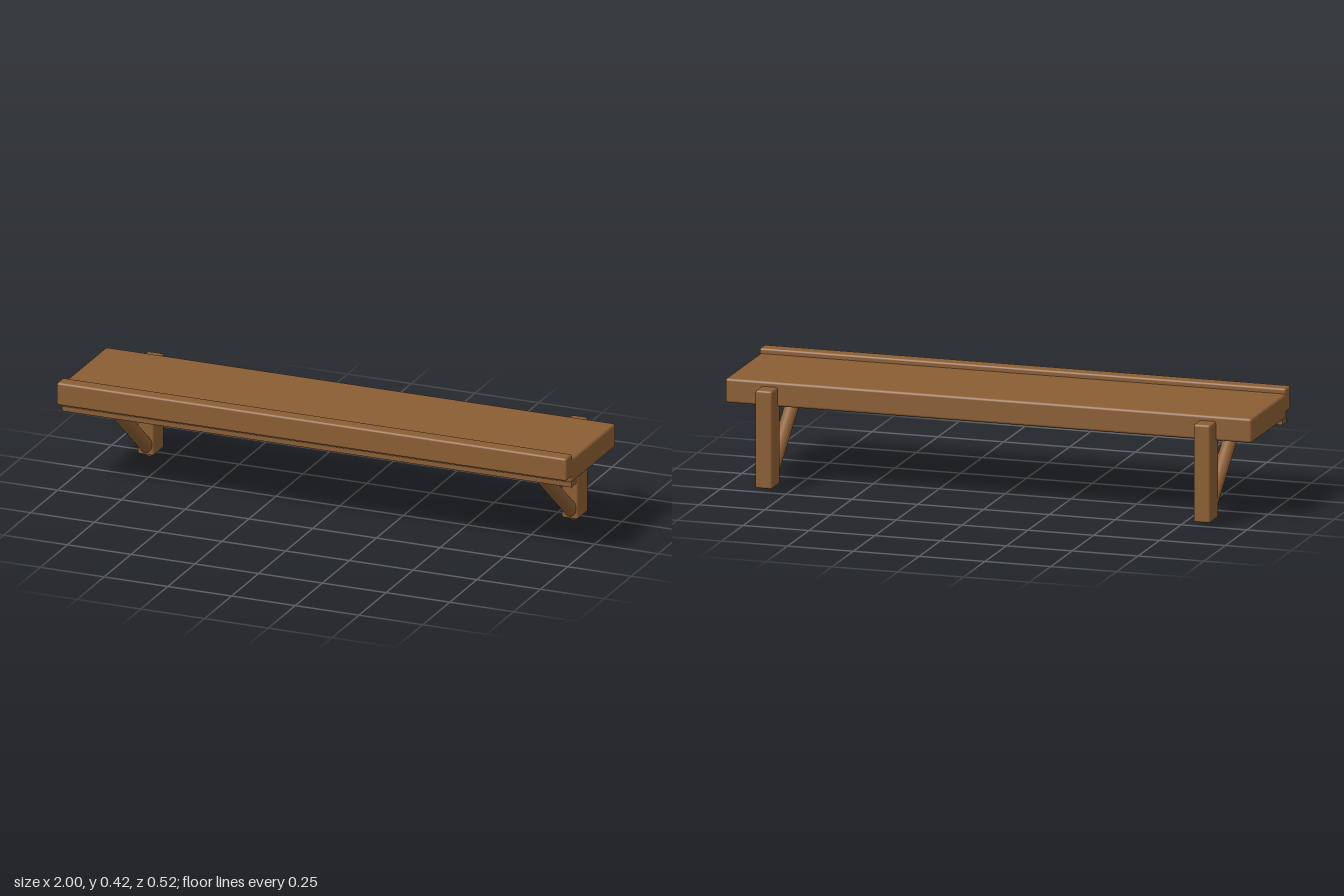
import * as THREE from 'three';
import { RoundedBoxGeometry } from 'three/addons/geometries/RoundedBoxGeometry.js';

export function createModel() {
  const model = new THREE.Group();
  model.name = 'wallShelf';
  const wood = new THREE.MeshStandardMaterial({ color: 0x8b5e34 });
  wood.name = 'wood';

  // Softly bevelled beam given by its extents on each axis
  function beam(name, parent, [x0, x1], [y0, y1], [z0, z1], bevel) {
    const geometry = new RoundedBoxGeometry(x1 - x0, y1 - y0, z1 - z0, 2, bevel);
    const mesh = new THREE.Mesh(geometry, wood);
    mesh.name = name;
    mesh.position.set((x0 + x1) / 2, (y0 + y1) / 2, (z0 + z1) / 2);
    parent.add(mesh);
  }

  // Board, raised front lip and the thin strip under the front edge
  beam('shelfBoard', model, [-1, 1], [0.309, 0.4], [-0.195, 0.215], 0.01);
  beam('frontLip', model, [-1, 1], [0.333, 0.42], [0.204, 0.262], 0.008);
  beam('underStrip', model, [-1, 1], [0.293, 0.313], [0.165, 0.213], 0.002);

  // Two brackets: an upright post and a round diagonal brace
  for (const side of [-1, 1]) {
    const bracket = new THREE.Group();
    bracket.name = side > 0 ? 'leftBracket' : 'rightBracket';
    bracket.position.x = side * 0.832;
    beam('post', bracket, [-0.032, 0.032], [0.017, 0.381], [-0.262, -0.164], 0.008);

    const bottom = new THREE.Vector3(0, 0.021, -0.211);
    const top = new THREE.Vector3(0, 0.329, 0.165);
    const along = top.clone().sub(bottom);
    const brace = new THREE.Mesh(new THREE.CylinderGeometry(0.026, 0.026, along.length(), 24), wood);
    brace.name = 'diagonalBrace';
    brace.position.copy(bottom).add(top).multiplyScalar(0.5);
    brace.quaternion.setFromUnitVectors(new THREE.Vector3(0, 1, 0), along.normalize());
    bracket.add(brace);
    model.add(bracket);
  }

  return model;
}
